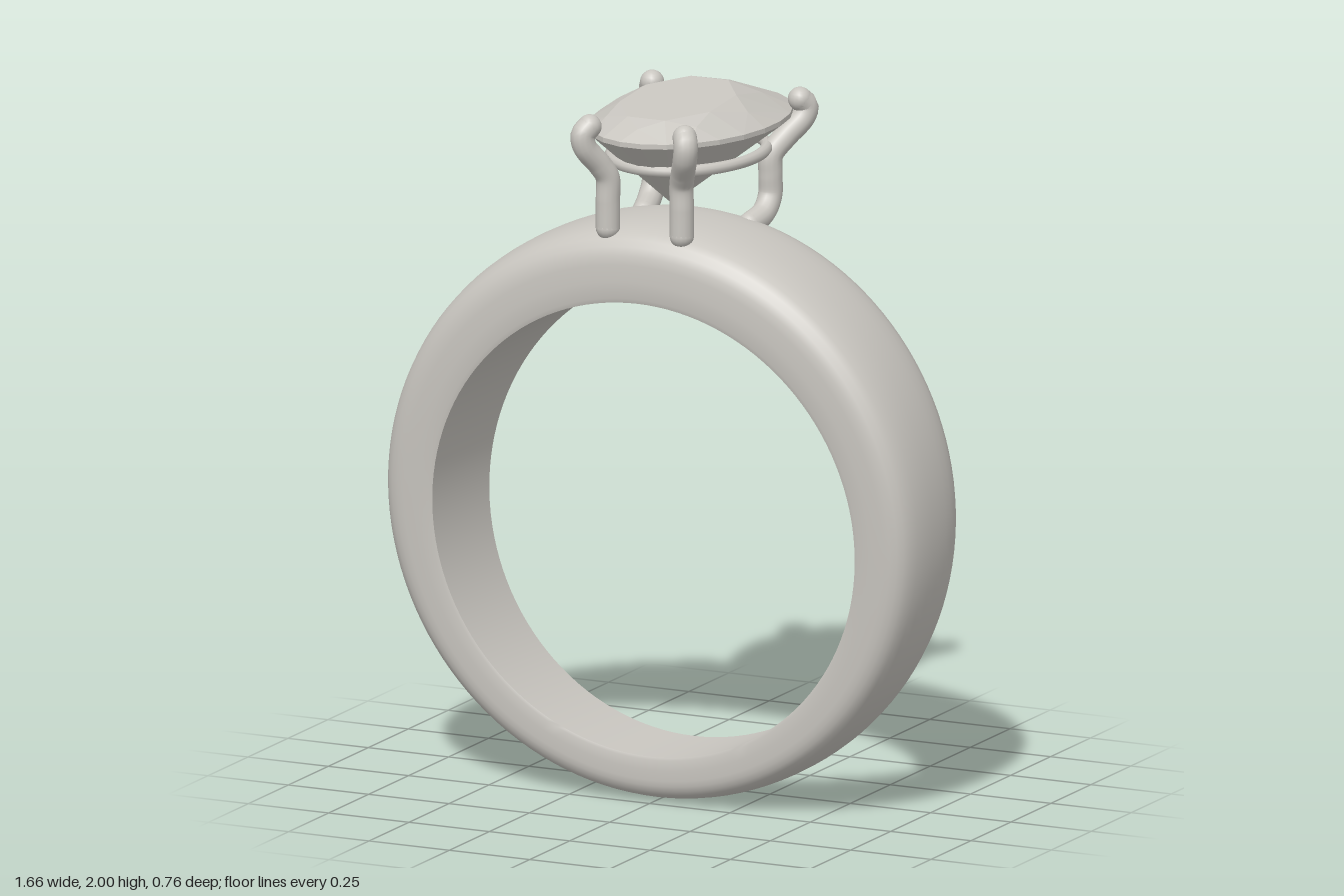
import * as THREE from 'three';
import { toCreasedNormals } from 'three/addons/utils/BufferGeometryUtils.js';

const V = (x, y, z) => new THREE.Vector3(x, y, z);

// Tapered band: a domed cross-section swept between two offset circles
function bandGeometry() {
  const half = [[0.98, 0], [1, 0.06], [1, 0.28], [1, 0.5], [0.985, 0.62], [0.945, 0.73], [0.88, 0.82],
    [0.78, 0.89], [0.63, 0.94], [0.45, 0.975], [0.24, 0.994]];
  const profile = [...half.map(([u, t]) => [-u, t]), [0, 1], ...half.slice().reverse()];
  const n = profile.length, segs = 128, pos = [], index = [];
  for (let i = 0; i < segs; i++) {
    const a = (i / segs) * Math.PI * 2, s = Math.sin(a), c = Math.cos(a);
    const width = 0.182 + 0.04 * c;
    for (const [u, t] of profile) {
      const r = THREE.MathUtils.lerp(0.657, 0.832, t);
      const cy = THREE.MathUtils.lerp(0.792, 0.833, t);
      pos.push(r * s, cy + r * c, 0.11 + u * width);
    }
    for (let j = 0; j < n; j++) {
      const p = i * n + j, q = i * n + (j + 1) % n;
      const p2 = ((i + 1) % segs) * n + j, q2 = ((i + 1) % segs) * n + (j + 1) % n;
      index.push(p, q, p2, q, q2, p2);
    }
  }
  const g = new THREE.BufferGeometry();
  g.setAttribute('position', new THREE.Float32BufferAttribute(pos, 3));
  g.setIndex(index);
  return toCreasedNormals(g, 0.7);
}

// Oval faceted stone with an off-centre table and point
function gemGeometry() {
  const N = 24, pos = [];
  const tri = (...pts) => pts.forEach(p => pos.push(p.x, p.y, p.z));
  const girdle = (k, y) => {
    const a = (k / N) * Math.PI * 2;
    return V(0.258 * Math.sin(a), y, -0.006 + 0.378 * Math.cos(a));
  };
  const table = k => {
    const a = (k / N) * Math.PI * 2, z = 0.073 + 0.215 * Math.cos(a);
    return V(0.152 * Math.sin(a), 1.967 + (0.28 - z) * 0.08, z);
  };
  const T = [], M = [];
  for (let i = 0; i < 8; i++) {
    T.push(table(3 * i + 1.5));
    M.push(table(3 * i + 3).lerp(girdle(3 * i + 3, 1.918), 0.45));
    M[i].y += 0.004;
  }
  const centre = V(0, 1.967 + 0.207 * 0.08, 0.073), culet = V(0, 1.69, 0.11);
  const G = [], B = [];
  for (let k = 0; k < N; k++) {
    G.push(girdle(k + 1.5, 1.918));
    B.push(girdle(k + 1.5, 1.904));
  }
  for (let i = 0; i < 8; i++) {
    const j = (i + 1) % 8, h = (i + 7) % 8;
    tri(centre, T[i], T[j]);
    tri(T[i], M[i], T[j]);
    tri(T[i], M[h], G[3 * i]);
    tri(T[i], G[3 * i], M[i]);
    for (let k = 3 * i; k < 3 * i + 3; k++) tri(M[i], G[k], G[(k + 1) % N]);
  }
  for (let k = 0; k < N; k++) {
    const l = (k + 1) % N;
    tri(G[k], B[k], B[l]);
    tri(G[k], B[l], G[l]);
    tri(culet, B[l], B[k]);
  }
  const g = new THREE.BufferGeometry();
  g.setAttribute('position', new THREE.Float32BufferAttribute(pos, 3));
  g.computeVertexNormals();
  return g;
}

export function createModel() {
  const model = new THREE.Group();
  const metal = new THREE.MeshStandardMaterial({ color: 0xc9c6c0 });
  metal.name = 'pale grey';

  const add = (name, geometry, parent = model) => {
    const mesh = new THREE.Mesh(geometry, metal);
    mesh.name = name;
    parent.add(mesh);
    return mesh;
  };

  add('band', bandGeometry());
  add('gemstone', gemGeometry());

  // Oval gallery rail under the stone
  const railPoints = Array.from({ length: 32 }, (_, i) => {
    const a = (i / 32) * Math.PI * 2;
    return V(0.203 * Math.sin(a), 1.82, 0.005 + 0.268 * Math.cos(a));
  });
  add('galleryRail', new THREE.TubeGeometry(new THREE.CatmullRomCurve3(railPoints, true), 80, 0.017, 10, true));

  // Four bent claws with rounded ends
  const claws = {
    frontClaw: [[0.115, 1.645, 0.28], [0.115, 1.72, 0.28], [0.115, 1.79, 0.282],
      [0.13, 1.83, 0.303], [0.156, 1.885, 0.342], [0.16, 1.92, 0.346], [0.148, 1.942, 0.328]],
    backClaw: [[0.165, 1.615, -0.045], [0.178, 1.637, -0.105], [0.181, 1.68, -0.14], [0.181, 1.74, -0.142],
      [0.182, 1.795, -0.145], [0.205, 1.84, -0.185], [0.237, 1.89, -0.235], [0.242, 1.92, -0.245], [0.23, 1.942, -0.228]],
  };
  const radius = 0.034;
  for (const [name, points] of Object.entries(claws)) {
    for (const side of [1, -1]) {
      const claw = new THREE.Group();
      claw.name = (side > 0 ? 'left ' : 'right ') + name;
      const path = points.map(([x, y, z]) => V(side * x, y, z));
      add('clawShaft', new THREE.TubeGeometry(new THREE.CatmullRomCurve3(path), 40, radius, 14), claw);
      for (const end of [path[0], path[path.length - 1]]) {
        add('clawEnd', new THREE.SphereGeometry(radius, 16, 12), claw).position.copy(end);
      }
      model.add(claw);
    }
  }
  return model;
}
